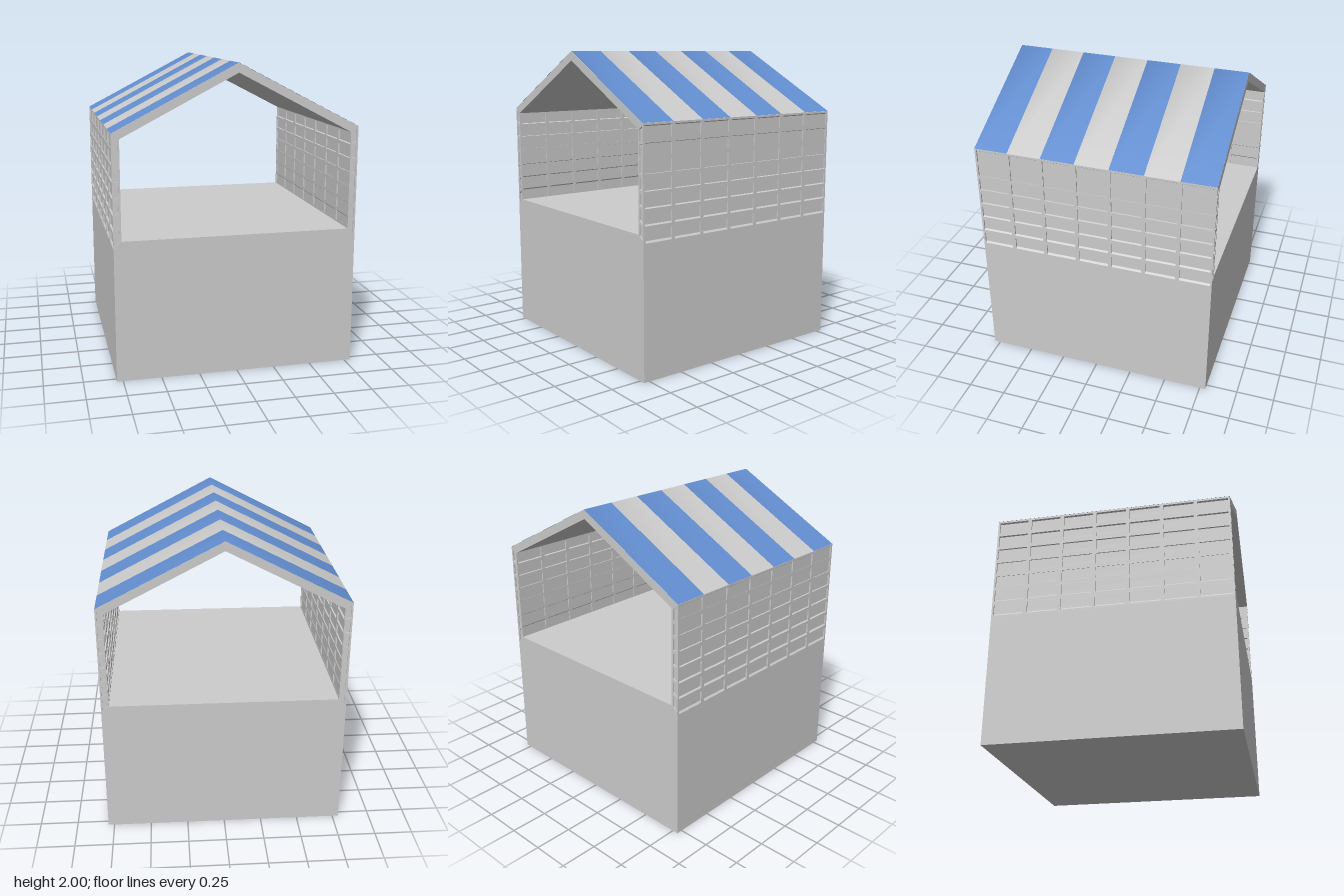
import * as THREE from 'three';
import { mergeGeometries } from 'three/addons/utils/BufferGeometryUtils.js';

const H = 0.79;          // half width and half depth
const IN = 0.74;         // inner face of the side walls
const N = 7;             // wall cells and roof stripes
const PITCH = (2 * H) / N;
const BAR = 0.0125;      // half width of a lattice bar
const RIDGE = 2, EAVE = 1.59;

const material = (color) => new THREE.MeshStandardMaterial({ color });
const grey = material(0xcccccc);
const paneWhite = material(0xebebeb);
const blue = material(0x638ed0);
blue.side = THREE.DoubleSide;
const stripeGrey = material(0xcccccc);
stripeGrey.side = THREE.DoubleSide;

function addMesh(parent, name, geometry, mat) {
  const mesh = new THREE.Mesh(geometry, mat);
  mesh.name = name;
  parent.add(mesh);
}

// Front outline carried through the whole depth
function prism(points) {
  const shape = new THREE.Shape(points.map(([x, y]) => new THREE.Vector2(x, y)));
  return new THREE.ExtrudeGeometry(shape, { depth: 2 * H, bevelEnabled: false }).translate(0, 0, -H);
}

// Box in wall space: s = inner to outer face, t = bottom to top, z = depth.
// The inner face is shorter than the outer one, so every bar is skewed to suit.
function wallBox(s0, s1, t0, t1, z0, z1) {
  const g = new THREE.BoxGeometry(s1 - s0, t1 - t0, z1 - z0);
  g.translate((s0 + s1) / 2, (t0 + t1) / 2, (z0 + z1) / 2);
  const p = g.attributes.position;
  for (let i = 0; i < p.count; i++) {
    const s = p.getX(i), t = p.getY(i);
    const bottom = THREE.MathUtils.lerp(0.92, 0.86, s);
    const top = THREE.MathUtils.lerp(1.555, EAVE, s);
    p.setXY(i, IN + (H - IN) * s, THREE.MathUtils.lerp(bottom, top, t));
  }
  g.computeVertexNormals();
  return g;
}

function createWall(name) {
  const wall = new THREE.Group();
  wall.name = name;
  const bars = [];
  const half = BAR / 0.73; // bar half width as a share of the wall height

  // Horizontal rails
  for (let i = 0; i <= N; i++) {
    bars.push(wallBox(0, 1, Math.max(0, i / N - half), Math.min(1, i / N + half), -H, H));
  }
  // Uprights between the rails, on the inner and outer faces
  for (let row = 0; row < N; row++) {
    for (let i = 0; i <= N; i++) {
      const z = -H + i * PITCH;
      const z0 = Math.max(-H, z - BAR), z1 = Math.min(H, z + BAR);
      for (const [s0, s1] of [[0, 0.23], [0.77, 1]]) {
        bars.push(wallBox(s0, s1, row / N + half, (row + 1) / N - half, z0, z1));
      }
    }
  }
  addMesh(wall, 'wallLattice', mergeGeometries(bars), grey);

  // Recessed panes in every row, also seen at the wall ends
  const panes = [];
  for (let row = 0; row < N; row++) {
    panes.push(wallBox(0.2, 0.8, row / N + half, (row + 1) / N - half, -H + 0.01, H - 0.01));
  }
  addMesh(wall, 'wallPanes', mergeGeometries(panes), paneWhite);
  return wall;
}

// One stripe folded over the ridge, shaded softly across the fold
function stripe(z0, z1) {
  const lift = 0.001;
  const corners = [];
  for (const [x, y] of [[-H, EAVE], [0, RIDGE], [H, EAVE]]) {
    corners.push(x, y + lift, z0, x, y + lift, z1);
  }
  const g = new THREE.BufferGeometry();
  g.setAttribute('position', new THREE.Float32BufferAttribute(corners, 3));
  g.setIndex([0, 1, 3, 0, 3, 2, 2, 3, 5, 2, 5, 4]);
  g.computeVertexNormals();
  return g;
}

export function createModel() {
  const model = new THREE.Group();
  model.name = 'stall';

  // Solid base with chamfered side edges under the walls
  addMesh(model, 'base', prism([
    [-H, 0], [H, 0], [H, 0.86], [IN, 0.92], [-IN, 0.92], [-H, 0.86],
  ]), grey);

  // Matching lattice walls
  const left = createWall('leftWall');
  const right = createWall('rightWall');
  right.rotation.y = Math.PI;
  model.add(left, right);

  // Gabled roof slab
  addMesh(model, 'roof', prism([
    [-H, EAVE], [-IN, 1.555], [0, 1.94], [IN, 1.555], [H, EAVE], [0, RIDGE],
  ]), grey);

  // Alternating roof stripes
  const stripes = new THREE.Group();
  stripes.name = 'roofStripes';
  for (let i = 0; i < N; i++) {
    const z = -H + i * PITCH;
    addMesh(stripes, i % 2 ? 'greyStripe' : 'blueStripe', stripe(z, z + PITCH), i % 2 ? stripeGrey : blue);
  }
  model.add(stripes);
  return model;
}
